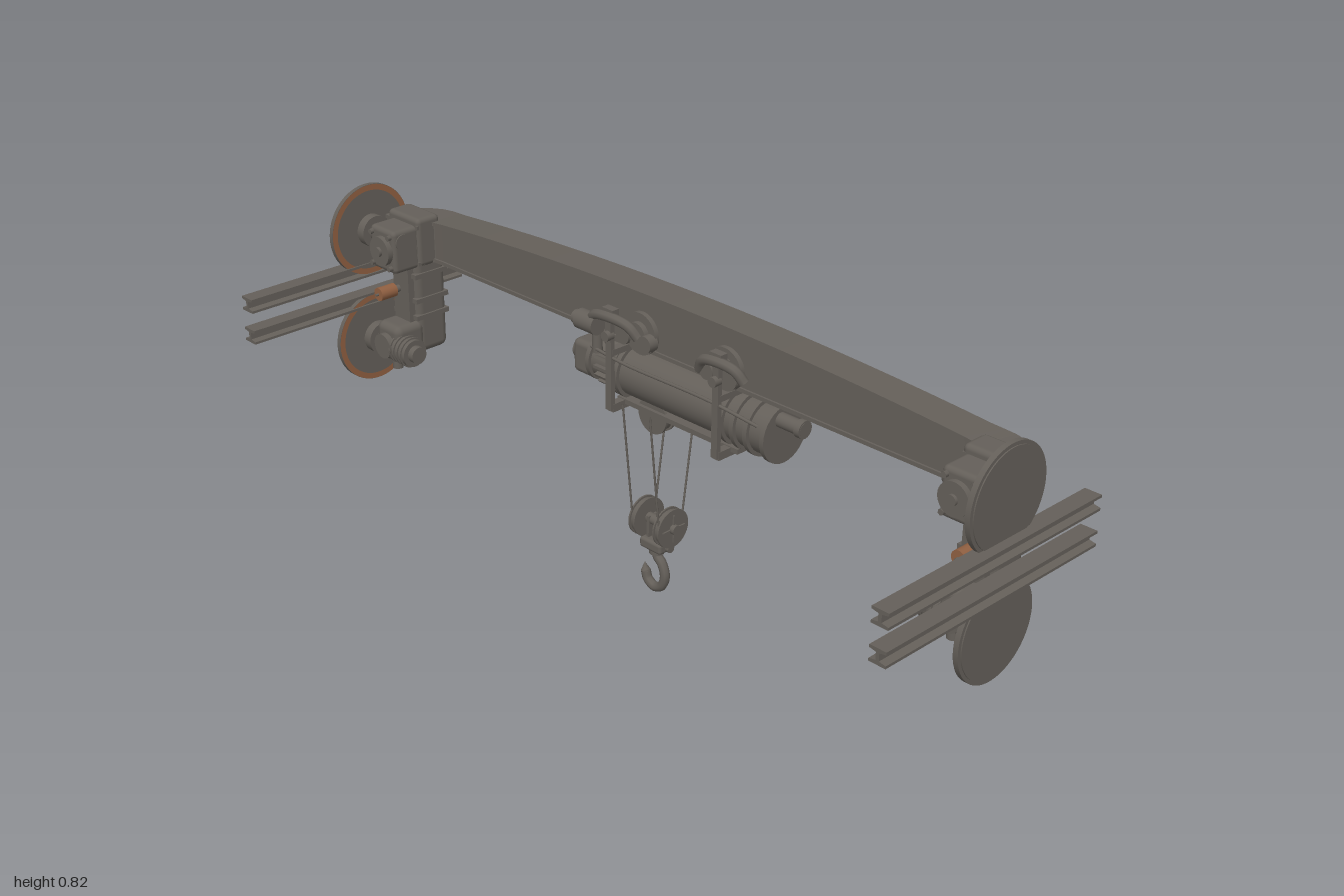
import * as THREE from 'three';
import { RoundedBoxGeometry } from 'three/addons/geometries/RoundedBoxGeometry.js';

export function createModel() {
  const root = new THREE.Group();
  const mat = (name, color) => {
    const m = new THREE.MeshStandardMaterial({ color });
    m.name = name;
    return m;
  };
  const steel = mat('dark steel', 0x645f59);
  const rust = mat('rust brown', 0x8f5f41);
  const V = (x, y, z) => new THREE.Vector3(x, y, z);

  const add = (name, geo, x = 0, y = 0, z = 0, m = steel) => {
    const mesh = new THREE.Mesh(geo, m);
    mesh.name = name;
    mesh.position.set(x, y, z);
    root.add(mesh);
    return mesh;
  };
  const box = (name, w, h, d, x, y, z) => add(name, new THREE.BoxGeometry(w, h, d), x, y, z);
  const rbox = (name, w, h, d, x, y, z, r = 0.012) =>
    add(name, new RoundedBoxGeometry(w, h, d, 2, r), x, y, z);
  // Cylinders lying along x, y or z
  const cyl = (name, axis, r, len, x, y, z, m = steel, sides = 32) => {
    const g = new THREE.CylinderGeometry(r, r, len, sides);
    if (axis === 'x') g.rotateZ(Math.PI / 2);
    if (axis === 'z') g.rotateX(Math.PI / 2);
    return add(name, g, x, y, z, m);
  };
  const tube = (name, pts, r, seg = 24) =>
    add(name, new THREE.TubeGeometry(new THREE.CatmullRomCurve3(pts), seg, r, 8));

  // Girder plan: x, z and half width at each station, ends turning forward
  const half = [];
  for (let i = 0; i <= 10; i++) half.push([0.08 * i, -0.175, 0.043]);
  for (let i = 0; i <= 6; i++) {
    const a = (i / 6) * Math.PI / 2;
    half.push([0.83 + 0.065 * Math.sin(a), -0.11 - 0.065 * Math.cos(a), 0.045 + 0.018 * i / 6]);
  }
  half.push([0.895, -0.085, 0.063]);
  const stations = [...half.slice(1).reverse().map(([x, z, w]) => [-x, z, w]), ...half];

  // Rectangular section swept along the plan
  const sweep = (name, extra, low, high) => {
    const rings = stations.map(([x, z, w], i) => {
      const p = stations[Math.max(i - 1, 0)], q = stations[Math.min(i + 1, stations.length - 1)];
      const l = Math.hypot(q[0] - p[0], q[1] - p[1]);
      const nx = -(q[1] - p[1]) / l * (w + extra), nz = (q[0] - p[0]) / l * (w + extra);
      const lo = low(x), hi = high(x);
      return [[x + nx, lo, z + nz], [x + nx, hi, z + nz], [x - nx, hi, z - nz], [x - nx, lo, z - nz]];
    });
    const pos = [];
    const quad = (a, b, c, d) => pos.push(...a, ...b, ...c, ...a, ...c, ...d);
    for (let i = 0; i < rings.length - 1; i++) {
      for (let k = 0; k < 4; k++) {
        const n = (k + 1) % 4;
        quad(rings[i][k], rings[i + 1][k], rings[i + 1][n], rings[i][n]);
      }
    }
    quad(...rings[0]);
    quad(...rings[rings.length - 1].slice().reverse());
    const g = new THREE.BufferGeometry();
    g.setAttribute('position', new THREE.Float32BufferAttribute(pos, 3));
    g.computeVertexNormals();
    add(name, g);
  };
  const arch = x => 0.735 + 0.035 * Math.max(0, 1 - (x / 0.84) ** 2);
  sweep('girder', -0.005, () => 0.637, x => arch(x) - 0.008);
  sweep('girderTopFlange', 0, x => arch(x) - 0.009, arch);
  sweep('girderBottomFlange', 0, () => 0.632, () => 0.641);

  // I-shaped rail profile
  const rail = new THREE.Shape([
    [-0.02, 0], [0.02, 0], [0.02, 0.006], [0.004, 0.009], [0.004, 0.026], [0.02, 0.029],
    [0.02, 0.035], [-0.02, 0.035], [-0.02, 0.029], [-0.004, 0.026], [-0.004, 0.009], [-0.02, 0.006],
  ].map(([x, y]) => new THREE.Vector2(x, y)));

  // End carriages
  for (const s of [-1, 1]) {
    for (const y of [0.585, 0.505]) {
      add('rail', new THREE.ExtrudeGeometry(rail, { depth: 0.64, bevelEnabled: false }), s * 0.98, y, -0.32);
    }
    for (const y of [0.705, 0.42]) {
      cyl('wheel', 'x', 0.115, 0.012, s * 0.97, y, -0.042, steel, 64);
      cyl('wheelFace', 'x', 0.107, 0.003, s * 0.977, y, -0.042, steel, 64);
      const rim = add('wheelRim', new THREE.RingGeometry(0.1, 0.1145, 64), s * 0.9635, y, -0.042, rust);
      rim.rotation.y = -s * Math.PI / 2;
      cyl('wheelHub', 'x', 0.04, 0.025, s * 0.953, y, -0.042);
      cyl('axle', 'x', 0.02, 0.13, s * 0.9, y, -0.042);
    }
    rbox('endCap', 0.12, 0.125, 0.07, s * 0.89, 0.69, -0.12);
    rbox('upperBearing', 0.095, 0.11, 0.08, s * 0.885, 0.68, -0.055);
    cyl('bearingCover', 'z', 0.037, 0.02, s * 0.88, 0.68, -0.012);
    cyl('bearingBolt', 'z', 0.012, 0.02, s * 0.88, 0.68, -0.005);
    for (const dx of [-0.034, 0.034]) for (const dy of [-0.04, 0.04]) {
      cyl('bolt', 'z', 0.007, 0.012, s * 0.885 + dx, 0.68 + dy, -0.012, steel, 6);
    }
    rbox('column', 0.085, 0.26, 0.095, s * 0.89, 0.52, -0.133, 0.02);
    box('columnFrontRib', 0.06, 0.16, 0.02, s * 0.89, 0.55, -0.08);
    for (const y of [0.49, 0.535, 0.6]) box('columnBand', 0.095, 0.012, 0.1, s * 0.89, y, -0.13);

    // Travel drive at the lower wheel
    rbox('gearbox', 0.09, 0.1, 0.09, s * 0.89, 0.43, -0.062, 0.02);
    cyl('driveMotor', 'x', 0.035, 0.075, s * 0.845, 0.42, -0.04);
    for (let i = 0; i < 4; i++) cyl('motorFin', 'x', 0.039, 0.005, s * (0.82 + i * 0.014), 0.42, -0.04);
    cyl('motorCap', 'x', 0.022, 0.02, s * 0.8, 0.42, -0.04);
    cyl('gearboxCover', 'z', 0.032, 0.02, s * 0.89, 0.425, -0.012);
    cyl('drainPlug', 'y', 0.013, 0.025, s * 0.88, 0.373, -0.04);

    // End stop on its arm
    cyl('stopArm', 'z', 0.009, 0.1, s * 0.9, 0.56, -0.1);
    cyl('stopPad', 'z', 0.017, 0.048, s * 0.9, 0.56, -0.031, rust);
    cyl('stopPin', 'z', 0.003, 0.02, s * 0.9, 0.56, -0.009);
  }

  // Trolley: wheels, bogie plates and arched arms on both sides of the girder
  for (const f of [-1, 1]) {
    const z = d => -0.175 + f * d;
    for (const x of [-0.09, 0.17]) {
      cyl('bogiePlate', 'z', 0.05, 0.012, x, 0.675, z(0.046));
      cyl('bogieBoss', 'z', 0.03, 0.02, x, 0.675, z(0.055));
      for (const dx of [-0.035, 0.035]) cyl('trolleyWheel', 'z', 0.02, 0.025, x + dx, 0.665, z(0.06));
    }
    for (const [x, w] of [[-0.165, 0.07], [0.17, 0.06]]) {
      tube('archedArm', [V(x - w, 0.66, z(0.065)), V(x - w * 0.7, 0.69, z(0.075)), V(x, 0.702, z(0.08)),
        V(x + w * 0.9, 0.695, z(0.075)), V(x + w * 1.2, 0.67, z(0.065))], 0.012);
      box('hangerHead', 0.035, 0.03, 0.02, x, 0.705, z(0.07));
      box('hanger', 0.018, 0.24, 0.012, x, 0.59, z(0.072));
      cyl('hangerPin', 'z', 0.012, 0.02, x, 0.655, z(0.079));
    }
    tube('sideRod', [V(-0.24, 0.6, z(0.06)), V(-0.12, 0.6, z(0.074)), V(0.15, 0.6, z(0.074)), V(0.28, 0.58, z(0.06))], 0.004);
  }
  cyl('trolleyMotor', 'x', 0.024, 0.06, -0.235, 0.665, -0.105);
  cyl('trolleyMotorCap', 'x', 0.017, 0.02, -0.27, 0.665, -0.105);
  cyl('trolleyMotorPost', 'y', 0.012, 0.06, -0.225, 0.62, -0.12);

  // Hoist drum and drives
  const hy = 0.545, hz = -0.185;
  cyl('drum', 'x', 0.06, 0.36, 0.02, hy, hz);
  for (const x of [-0.18, -0.165, 0.165, 0.2, 0.24, 0.29]) cyl('drumFlange', 'x', 0.069, 0.012, x, hy, hz);
  cyl('hoistGearbox', 'x', 0.06, 0.1, 0.245, hy, hz);
  cyl('hoistMotor', 'x', 0.05, 0.12, -0.22, hy, hz);
  for (let i = 0; i < 16; i++) {
    const a = i * Math.PI / 8;
    const fin = box('motorRib', 0.06, 0.014, 0.007, -0.215, hy + 0.054 * Math.sin(a), hz + 0.054 * Math.cos(a));
    fin.rotation.x = Math.PI / 2 - a;
  }
  cyl('motorFlange', 'x', 0.058, 0.012, -0.27, hy, hz);
  rbox('motorEnd', 0.065, 0.085, 0.085, -0.305, 0.54, hz, 0.015);
  cyl('motorTail', 'x', 0.025, 0.02, -0.345, 0.54, hz);
  cyl('auxiliaryMotor', 'x', 0.017, 0.07, 0.335, 0.587, hz + 0.02);
  cyl('auxiliaryCap', 'x', 0.021, 0.015, 0.362, 0.587, hz + 0.02);
  box('hoistBase', 0.38, 0.012, 0.09, 0.01, 0.481, hz);
  for (const x of [-0.165, 0.17]) {
    box('cradle', 0.02, 0.02, 0.15, x, 0.475, -0.178);
    box('cradleTop', 0.02, 0.015, 0.15, x, 0.613, -0.178);
  }

  // Upper sheave
  cyl('upperSheave', 'z', 0.04, 0.02, -0.075, 0.47, -0.165);
  for (const z of [-0.178, -0.152]) cyl('upperSheaveFlange', 'z', 0.045, 0.006, -0.075, 0.47, z);
  box('ropeAnchor', 0.02, 0.06, 0.012, -0.04, 0.455, -0.238);

  // Ropes
  const bz = -0.166;
  for (const x of [-0.118, -0.03]) {
    tube('frontRope', [V(x, 0.5, -0.098), V(x, 0.2, bz + 0.037)], 0.0025, 1);
    tube('backRope', [V(x, 0.5, -0.245), V(x, 0.2, bz - 0.037)], 0.0025, 1);
  }

  // Hook block with two ribbed sheaves
  for (const x of [-0.11, -0.03]) {
    cyl('blockSheave', 'x', 0.044, 0.014, x, 0.192, bz);
    const out = x < -0.07 ? -1 : 1;
    for (const d of [-0.008, 0.008]) cyl('sheaveFlange', 'x', 0.049, 0.004, x + d, 0.192, bz);
    cyl('sheaveHub', 'x', 0.012, 0.02, x + out * 0.012, 0.192, bz);
    for (const a of [0, Math.PI / 2]) {
      box('sheaveRib', 0.006, 0.07, 0.004, x + out * 0.011, 0.192, bz).rotation.x = a;
    }
  }
  cyl('blockAxle', 'x', 0.013, 0.1, -0.07, 0.192, bz);
  for (const x of [-0.09, -0.05]) box('blockPlate', 0.008, 0.07, 0.03, x, 0.168, bz);
  rbox('blockYoke', 0.07, 0.028, 0.054, -0.072, 0.135, bz, 0.008);
  for (const x of [-0.112, -0.032]) cyl('yokeEnd', 'x', 0.01, 0.012, x, 0.135, bz);
  cyl('hookCollar', 'y', 0.018, 0.02, -0.074, 0.117, bz);
  tube('hook', [V(-0.074, 0.12, bz), V(-0.072, 0.1, bz), V(-0.056, 0.084, bz), V(-0.046, 0.055, bz),
    V(-0.056, 0.024, bz), V(-0.08, 0.012, bz), V(-0.103, 0.024, bz), V(-0.111, 0.045, bz)], 0.012, 40);
  add('hookTip', new THREE.ConeGeometry(0.012, 0.022, 12), -0.1125, 0.055, bz).rotation.z = 0.15;

  return root;
}
